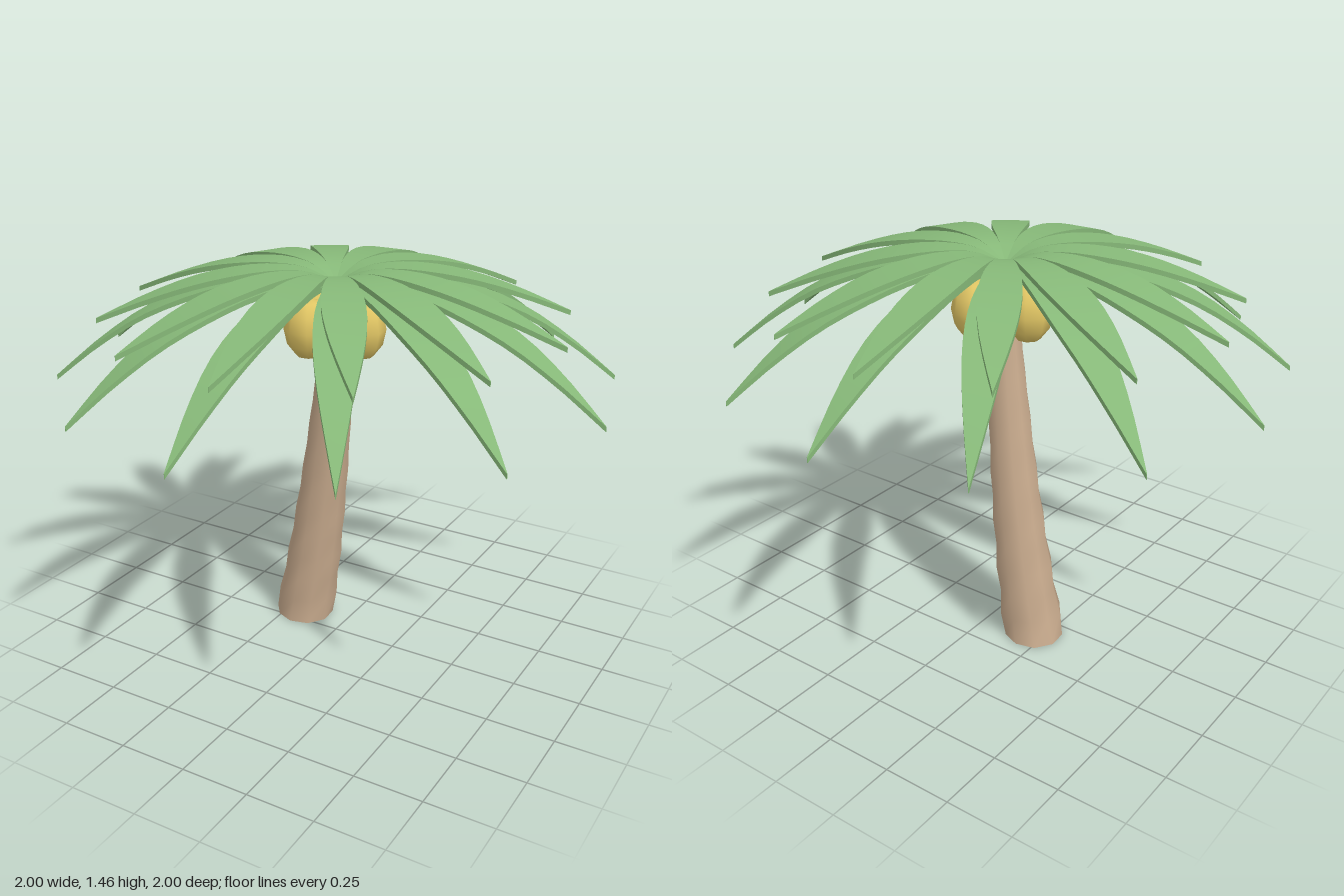
import * as THREE from 'three';
import { mergeVertices } from 'three/addons/utils/BufferGeometryUtils.js';

const bark = new THREE.MeshStandardMaterial({ color: 0xc6a98c, side: THREE.DoubleSide });
const leaf = new THREE.MeshStandardMaterial({ color: 0x86b878 });
const husk = new THREE.MeshStandardMaterial({ color: 0xe0c564 });

const curve = (points) => new THREE.CatmullRomCurve3(points.map((p) => new THREE.Vector3(...p)));

// Leaning, tapering trunk with slightly uneven rings, open at the base
function trunkGeometry() {
  const path = curve([
    [-0.19, 0, -0.08], [-0.138, 0.3, -0.077], [-0.092, 0.6, -0.068],
    [-0.048, 0.9, -0.048], [-0.016, 1.15, -0.026], [0, 1.39, 0],
  ]);
  let geometry = new THREE.CylinderGeometry(1, 1, 1, 10, 16, true);
  geometry.deleteAttribute('uv');
  geometry.deleteAttribute('normal');
  geometry = mergeVertices(geometry);
  const pos = geometry.attributes.position;
  for (let i = 0; i < pos.count; i++) {
    const t = pos.getY(i) + 0.5;
    const x = pos.getX(i), z = pos.getZ(i);
    const c = path.getPoint(t);
    const bump = 1 + 0.05 * (1 - t) * Math.sin(t * 50 + 2 * Math.atan2(z, x));
    const r = (0.117 - 0.07 * t) * bump;
    pos.setXYZ(i, c.x + x * r, c.y, c.z + z * r);
  }
  geometry.computeVertexNormals();
  return geometry;
}

// Thin arched frond: a box bent along a path and tapered to a point at both ends
function frondGeometry(points, halfWidth, thickness) {
  const path = curve(points);
  const geometry = new THREE.BoxGeometry(1, 1, 1, 14, 1, 2);
  const pos = geometry.attributes.position;
  for (let i = 0; i < pos.count; i++) {
    const t = pos.getX(i) + 0.5;
    const c = path.getPoint(t);
    const w = halfWidth * Math.sin(Math.PI * Math.min(1, c.x / points.at(-1)[0])) + 0.001;
    pos.setXYZ(i, c.x, c.y + (pos.getY(i) - 0.5) * thickness, pos.getZ(i) * 2 * w);
  }
  geometry.computeVertexNormals();
  return geometry;
}

export function createModel() {
  const model = new THREE.Group();
  model.name = 'palmTree';

  const trunk = new THREE.Mesh(trunkGeometry(), bark);
  trunk.name = 'trunk';
  model.add(trunk);

  // Two layers of twelve fronds, the upper one shorter and turned a little
  const longFrond = frondGeometry(
    [[0, 1.39, 0], [0.18, 1.425, 0], [0.36, 1.41, 0], [0.52, 1.365, 0],
      [0.68, 1.295, 0], [0.84, 1.19, 0], [1, 1.06, 0]], 0.071, 0.018);
  const shortFrond = frondGeometry(
    [[0, 1.4, 0], [0.1, 1.447, 0], [0.22, 1.457, 0], [0.36, 1.443, 0],
      [0.5, 1.412, 0], [0.66, 1.358, 0], [0.835, 1.285, 0]], 0.07, 0.018);
  const fronds = new THREE.Group();
  fronds.name = 'fronds';
  for (let i = 0; i < 12; i++) {
    const angle = (i / 12) * Math.PI * 2;
    const lower = new THREE.Mesh(longFrond, leaf);
    lower.name = 'longFrond';
    lower.rotation.y = angle;
    const upper = new THREE.Mesh(shortFrond, leaf);
    upper.name = 'shortFrond';
    upper.rotation.y = angle + 0.06;
    fronds.add(lower, upper);
  }
  model.add(fronds);

  // Four coconuts hanging around the top of the trunk
  const nutGeometry = new THREE.SphereGeometry(0.086, 8, 6).scale(1, 1.28, 1);
  const nuts = new THREE.Group();
  nuts.name = 'coconuts';
  for (let i = 0; i < 4; i++) {
    const angle = (i * Math.PI) / 2 + 0.3;
    const nut = new THREE.Mesh(nutGeometry, husk);
    nut.name = 'coconut';
    nut.position.set(0.13 * Math.cos(angle), 1.26, 0.13 * Math.sin(angle));
    nut.rotation.y = -angle;
    nuts.add(nut);
  }
  model.add(nuts);

  return model;
}
